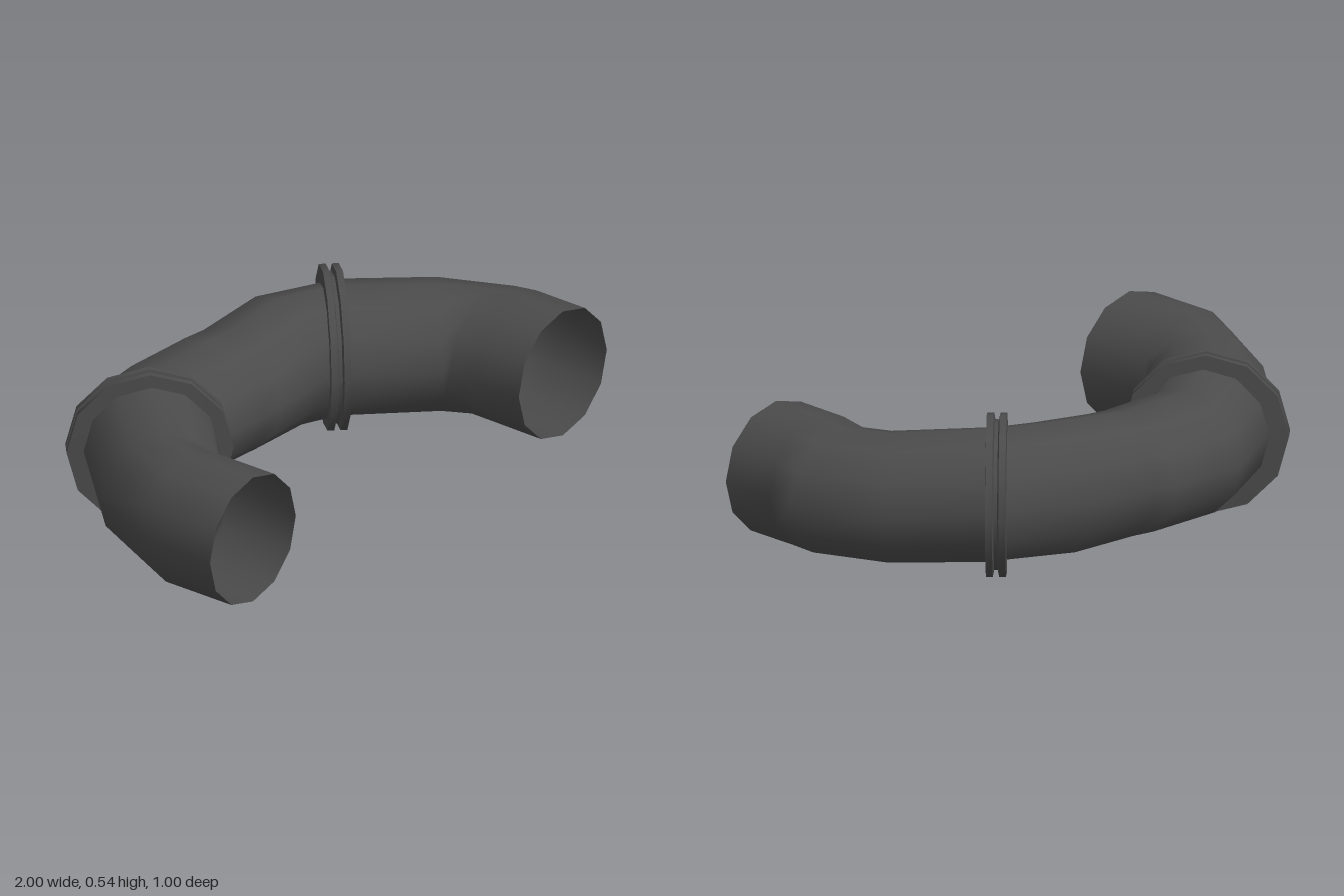
import * as THREE from 'three';
import { toCreasedNormals } from 'three/addons/utils/BufferGeometryUtils.js';

const SIDES = 12;

// Tube skinned over loops; each loop is [outer x, outer z, inner x, inner z, centre y, half height]
function pipe(loops) {
  const pos = [], index = [];
  loops.forEach(([ox, oz, ix, iz, cy = 0.267, ry = 0.22], j) => {
    const cx = (ox + ix) / 2, cz = (oz + iz) / 2;
    for (let i = 0; i < SIDES; i++) {
      const a = (i / SIDES) * Math.PI * 2, c = Math.cos(a);
      pos.push(cx + (ox - cx) * c, cy + ry * Math.sin(a), cz + (oz - cz) * c);
      if (j === 0) continue;
      const k = (i + 1) % SIDES, p = (j - 1) * SIDES, q = j * SIDES;
      index.push(p + i, p + k, q + i, p + k, q + k, q + i);
    }
  });
  const g = new THREE.BufferGeometry();
  g.setAttribute('position', new THREE.Float32BufferAttribute(pos, 3));
  g.setIndex(index);
  g.computeVertexNormals();
  return g;
}

// Double-lipped coupling, turned about z
function flange() {
  const profile = [
    [0.205, -0.034], [0.267, -0.032], [0.267, -0.010], [0.245, -0.006],
    [0.245, 0.006], [0.267, 0.010], [0.267, 0.032], [0.205, 0.034],
  ].map(([r, y]) => new THREE.Vector2(r, y));
  const g = new THREE.LatheGeometry(profile, SIDES);
  g.rotateX(Math.PI / 2);
  return toCreasedNormals(g, Math.PI / 4);
}

export function createModel() {
  const group = new THREE.Group();
  const darkMetal = new THREE.MeshStandardMaterial({ color: 0x4b4b4b, side: THREE.DoubleSide });
  const add = (name, geometry) => {
    const mesh = new THREE.Mesh(geometry, darkMetal);
    mesh.name = name;
    group.add(mesh);
    return mesh;
  };

  // Right elbow, from its open mouth to the coupling
  add('rightElbow', pipe([
    [-1, 0.495, -0.56, 0.49],
    [-1, 0.23, -0.56, 0.21],
    [-0.84, -0.10, -0.545, 0.195, 0.26, 0.212],
    [-0.61, -0.345, -0.30, -0.04],
  ]));

  // Slightly uneven middle run
  add('middlePipe', pipe([
    [-0.61, -0.345, -0.30, -0.05],
    [-0.32, -0.5, -0.27, -0.06, 0.252, 0.207],
    [-0.04, -0.5, -0.03, -0.06, 0.25, 0.205],
    [0.04, -0.482, 0.04, -0.06, 0.252, 0.207],
    [0.30, -0.47, 0.26, -0.058, 0.266, 0.221],
    [0.61, -0.325, 0.31, -0.04],
  ]));

  // Left elbow, from the coupling to its open mouth
  add('leftElbow', pipe([
    [0.62, -0.335, 0.32, -0.03],
    [0.865, -0.10, 0.55, 0.195, 0.259, 0.214],
    [1, 0.21, 0.565, 0.21, 0.26, 0.214],
    [1, 0.30, 0.56, 0.30],
    [1, 0.5, 0.555, 0.5],
  ]));

  // Couplings over the two joints
  const ring = flange();
  const right = add('rightCoupling', ring);
  right.position.set(-0.455, 0.262, -0.197);
  right.rotation.y = Math.atan2(0.40, -0.37);
  const left = add('leftCoupling', ring);
  left.position.set(0.465, 0.267, -0.19);
  left.rotation.y = Math.atan2(0.37, 0.37);

  return group;
}
